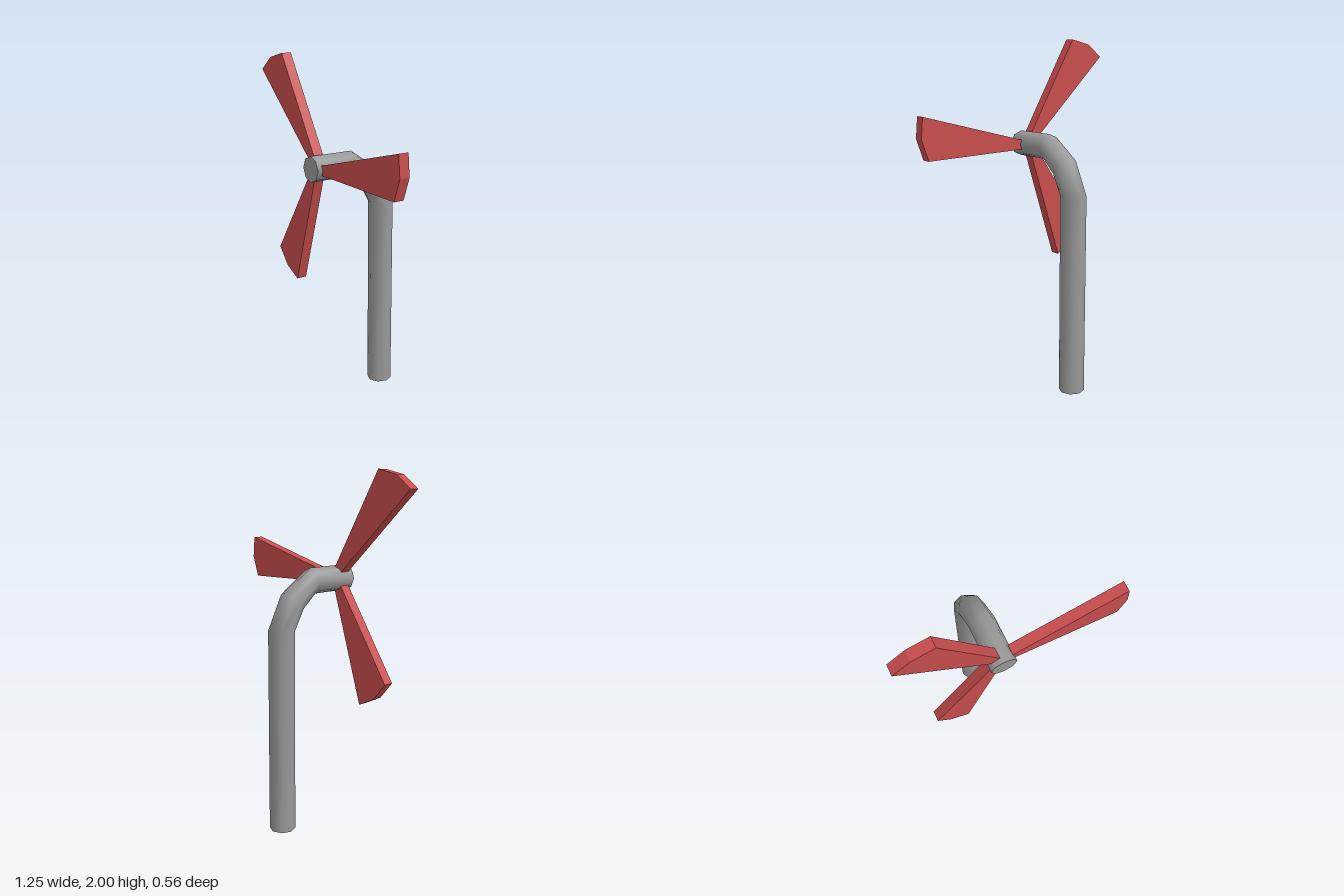
import * as THREE from 'three';

const HUB_X = -0.092, HUB_Y = 1.402, RADIUS = 0.073, SIDES = 8;

// Smooth tube through rings of [z, y, turn]; turn 0 points up, 90 degrees points forward
function pipeGeometry(rings) {
  const positions = [], index = [];
  rings.forEach(([z, y, turn], i) => {
    const a = THREE.MathUtils.degToRad(turn);
    for (let j = 0; j < SIDES; j++) {
      const t = (j / SIDES) * Math.PI * 2, out = RADIUS * Math.sin(t);
      positions.push(RADIUS * Math.cos(t), y + out * Math.sin(a), z - out * Math.cos(a));
      if (i === rings.length - 1) continue;
      const p = i * SIDES + j, q = i * SIDES + (j + 1) % SIDES;
      index.push(p, q, q + SIDES, p, q + SIDES, p + SIDES);
    }
  });
  const geometry = new THREE.BufferGeometry();
  geometry.setAttribute('position', new THREE.Float32BufferAttribute(positions, 3));
  geometry.setIndex(index);
  geometry.computeVertexNormals();
  return geometry;
}

export function createModel() {
  const grey = new THREE.MeshStandardMaterial({ color: 0x999999, side: THREE.DoubleSide });
  grey.name = 'pipe grey';
  const red = new THREE.MeshStandardMaterial({ color: 0xc94d4d });
  red.name = 'blade red';

  const model = new THREE.Group();
  model.name = 'propellerOnPipe';
  const add = (name, geometry, material, x, y, z, parent = model) => {
    const mesh = new THREE.Mesh(geometry, material);
    mesh.name = name;
    mesh.position.set(x, y, z);
    parent.add(mesh);
    return mesh;
  };

  // Bent pipe, open at the foot and closed at the front
  const rings = [[-0.205, 0, 0], [-0.205, 1.15, 0], [-0.126, 1.302, 45], [0.01, HUB_Y, 90], [0.28, HUB_Y, 90]];
  add('bentPipe', pipeGeometry(rings), grey, HUB_X, 0, 0);
  add('pipeEndCap', new THREE.CircleGeometry(RADIUS, SIDES), grey, HUB_X, HUB_Y, 0.28);

  // Three flared blades around the front end
  const outline = [[0.062, -0.027], [0.677, -0.047], [0.718, 0.073], [0.707, 0.193], [0.062, 0.028]];
  const shape = new THREE.Shape(outline.map(([x, y]) => new THREE.Vector2(x, y)));
  const bladeGeometry = new THREE.ExtrudeGeometry(shape, { depth: 0.06, bevelEnabled: false });
  const propeller = new THREE.Group();
  propeller.name = 'propeller';
  propeller.position.set(HUB_X, HUB_Y, 0.19);
  model.add(propeller);
  [0, 121.8, 237.8].forEach((angle, i) => {
    const blade = add(`blade${i + 1}`, bladeGeometry, red, 0, 0, 0, propeller);
    blade.rotation.z = THREE.MathUtils.degToRad(angle);
  });

  return model;
}
